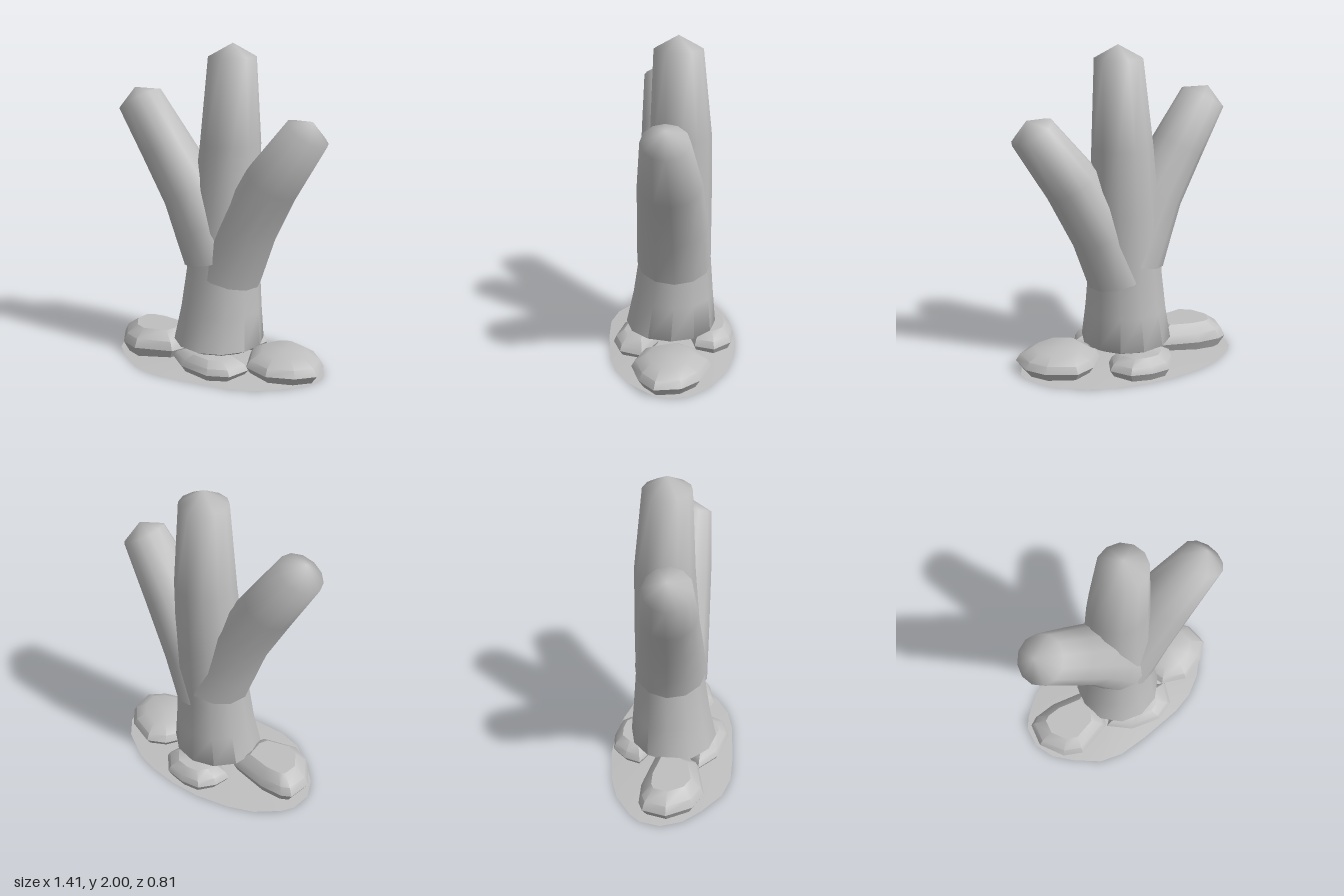
import * as THREE from 'three';
import { toCreasedNormals } from 'three/addons/utils/BufferGeometryUtils.js';

// Skin a stack of equal-length rings, listed from bottom to top
function loft(rings, crease) {
  const n = rings[0].length, index = [];
  for (let i = 0; i < rings.length - 1; i++) {
    for (let j = 0; j < n; j++) {
      const a = i * n + j, b = i * n + (j + 1) % n;
      index.push(a, a + n, b, b, a + n, b + n);
    }
  }
  const geometry = new THREE.BufferGeometry();
  geometry.setAttribute('position', new THREE.Float32BufferAttribute(rings.flat(2), 3));
  geometry.setIndex(index);
  geometry.computeVertexNormals();
  return toCreasedNormals(geometry, crease);
}

// Tilted elliptical cross-section of a limb
function section([x, y, z, rx, rz, tilt = 0], sides = 12) {
  return Array.from({ length: sides }, (_, i) => {
    const a = (i / sides) * Math.PI * 2, c = Math.cos(a) * rx;
    return [x + c * Math.cos(tilt), y + c * Math.sin(tilt), z + Math.sin(a) * rz];
  });
}

// Outline scaled about a centre and set at a height
const layer = (outline, [cx, cz], scale, y) =>
  outline.map(([x, z]) => [cx + (x - cx) * scale, y, cz + (z - cz) * scale]);

export function createModel() {
  const model = new THREE.Group();
  const grey = new THREE.MeshStandardMaterial({ color: 0xbfbfbf, side: THREE.DoubleSide });
  grey.name = 'plain grey';
  const add = (name, geometry) => {
    const mesh = new THREE.Mesh(geometry, grey);
    mesh.name = name;
    model.add(mesh);
  };

  // Trunk and two arms: each ends in a blunt conical tip
  const limbs = {
    trunk: [
      [0, 0.11, 0, 0, 0], [0, 0.11, 0, 0.22, 0.22], [0, 0.145, 0, 0.285, 0.285],
      [0.01, 0.36, -0.015, 0.255, 0.252], [0.018, 0.6, -0.025, 0.232, 0.225],
      [0.03, 1.0, -0.045, 0.212, 0.205], [0.048, 1.4, -0.06, 0.187, 0.185],
      [0.065, 1.92, -0.045, 0.145, 0.145], [0.068, 2, -0.045, 0, 0],
    ],
    rightArm: [
      [0, 0.68, -0.02, 0, 0], [0, 0.68, -0.02, 0.23, 0.23, 0.25],
      [-0.09, 0.87, -0.01, 0.205, 0.215, 0.42], [-0.19, 1.08, 0, 0.18, 0.195, 0.5],
      [-0.36, 1.36, 0.015, 0.16, 0.17, 0.5], [-0.535, 1.643, 0.03, 0.142, 0.142, 0.49],
      [-0.57, 1.713, 0.03, 0, 0],
    ],
    leftArm: [
      [0.05, 0.58, -0.02, 0, 0], [0.05, 0.58, -0.02, 0.215, 0.23, -0.3],
      [0.18, 0.87, -0.01, 0.185, 0.215, -0.4], [0.355, 1.195, 0.005, 0.172, 0.19, -0.55],
      [0.58, 1.51, 0.03, 0.139, 0.139, -0.53], [0.61, 1.58, 0.03, 0, 0],
    ],
  };
  for (const [name, sections] of Object.entries(limbs)) {
    add(name, loft(sections.map((s) => section(s)), 1.2));
  }

  // Low irregular mound of ground
  const ground = [
    [0.705, 0], [0.67, 0.1], [0.6, 0.18], [0.52, 0.26], [0.39, 0.34], [0.24, 0.38], [-0.06, 0.405],
    [-0.26, 0.405], [-0.41, 0.36], [-0.56, 0.24], [-0.66, 0.13], [-0.71, 0], [-0.69, -0.13],
    [-0.64, -0.2], [-0.5, -0.31], [-0.34, -0.37], [-0.12, -0.41], [0.07, -0.41], [0.25, -0.385],
    [0.4, -0.34], [0.59, -0.22], [0.68, -0.1],
  ];
  add('ground', loft([[1, 0], [0.4, 0.025], [0, 0.03]].map(([s, y]) => layer(ground, [0, 0], s, y)), 1));

  // Faceted stones around the foot: outline, crown centre and height
  const stones = {
    rightStone: { top: [-0.43, 0.03], height: 0.18, outline: [[-0.69, 0.03], [-0.66, -0.12], [-0.6, -0.15],
      [-0.45, -0.155], [-0.2, -0.1], [-0.19, 0.1], [-0.24, 0.19], [-0.48, 0.25], [-0.6, 0.19]] },
    leftStone: { top: [0.45, 0], height: 0.145, outline: [[0.6, 0.19], [0.43, 0.24], [0.27, 0.17],
      [0.2, -0.05], [0.3, -0.19], [0.42, -0.245], [0.6, -0.17], [0.69, -0.06], [0.705, 0.1]] },
    frontStone: { top: [0.04, 0.2], height: 0.12, outline: [[-0.12, 0.1], [0.1, 0.08], [0.29, 0.18],
      [0.23, 0.32], [0.1, 0.365], [-0.1, 0.31], [-0.23, 0.19]] },
    backStone: { top: [0, -0.25], height: 0.135, outline: [[-0.23, -0.2], [-0.2, -0.3], [-0.12, -0.39],
      [0, -0.405], [0.13, -0.38], [0.22, -0.27], [0.18, -0.15], [-0.05, -0.1]] },
  };
  for (const [name, { top, height, outline }] of Object.entries(stones)) {
    const levels = [[0, 0.003], [0.85, 0.003], [1, 0.4 * height], [0.9, 0.7 * height], [0.6, height], [0, height]];
    add(name, loft(levels.map(([s, y]) => layer(outline, top, s, y)), 0.6));
  }
  return model;
}
